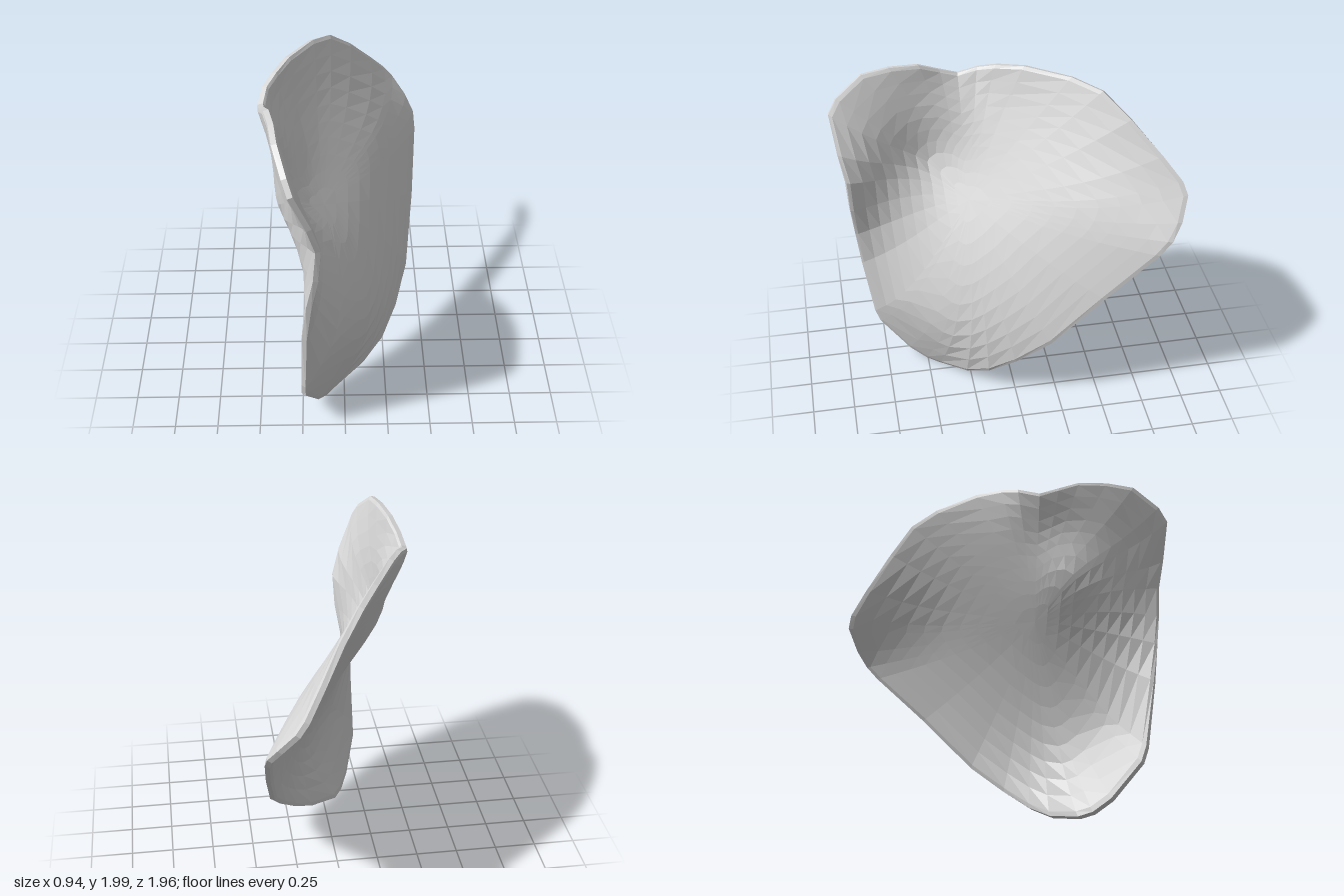
import * as THREE from 'three';

// Outline of the sheet as [z, y, x], clockwise as seen from +x
const OUTLINE = [
  [0.98, 1.78, -0.28], [0.93, 1.86, -0.31], [0.78, 1.97, -0.36], [0.62, 1.99, -0.38],
  [0.45, 1.975, -0.41], [0.33, 1.92, -0.44], [0.22, 1.88, -0.45], [0.1, 1.92, -0.43],
  [0, 1.95, -0.38], [-0.15, 1.965, -0.31], [-0.4, 1.94, -0.18], [-0.56, 1.89, -0.08],
  [-0.7, 1.76, 0.04], [-0.86, 1.58, 0.17], [-0.96, 1.455, 0.26], [-0.98, 1.39, 0.31],
  [-0.93, 1.27, 0.4], [-0.87, 1.18, 0.45], [-0.8, 1.1, 0.457], [-0.5, 0.8, 0.43],
  [-0.2, 0.47, 0.385], [0, 0.29, 0.31], [0.15, 0.16, 0.22], [0.27, 0.07, 0.1],
  [0.42, 0.01, -0.07], [0.5, 0.02, -0.12], [0.6, 0.08, -0.17], [0.77, 0.27, -0.24],
  [0.8, 0.36, -0.24], [0.86, 0.76, -0.228], [0.89, 1.0, -0.2], [0.91, 1.2, -0.16],
  [0.92, 1.4, -0.145], [0.95, 1.56, -0.19]
];
// Valley behind the flap, the flap itself, then the domed body and its lower fold
const INNER = [
  [0.32, 1.72, -0.378], [0.39, 1.52, -0.352], [0.43, 1.38, -0.335], [0.52, 1.28, -0.275],
  [0.65, 1.18, -0.225], [0.78, 1.03, -0.2], [0.7, 1.6, -0.285], [0.72, 1.36, -0.238],
  [-0.4, 1.3, 0.19], [0, 1.1, 0.06], [0.26, 0.93, 0], [0.32, 0.3, 0.12],
  [0.5, 0.35, 0], [0.6, 0.55, -0.05]
];
const CENTRE = [0.2, 1.2];
const RINGS = 11;

// Gaussian elimination with pivoting
function solve(rows) {
  const n = rows.length;
  for (let c = 0; c < n; c++) {
    let p = c;
    for (let r = c + 1; r < n; r++) if (Math.abs(rows[r][c]) > Math.abs(rows[p][c])) p = r;
    [rows[c], rows[p]] = [rows[p], rows[c]];
    for (let r = 0; r < n; r++) {
      if (r === c) continue;
      const k = rows[r][c] / rows[c][c];
      for (let j = c; j <= n; j++) rows[r][j] -= k * rows[c][j];
    }
  }
  return rows.map((row, i) => row[n] / row[i]);
}

// Smooth surface x = f(z, y) through the given points (thin plate spline)
function fitSurface(points) {
  const basis = (z, y) => [
    ...points.map(([a, b]) => {
      const d = (z - a) ** 2 + (y - b) ** 2;
      return d < 1e-12 ? 0 : d * Math.log(d);
    }), 1, z, y
  ];
  const rows = points.map(([z, y, x]) => [...basis(z, y), x]);
  for (const f of [() => 1, p => p[0], p => p[1]]) rows.push([...points.map(f), 0, 0, 0, 0]);
  const w = solve(rows);
  return (z, y) => basis(z, y).reduce((s, b, i) => s + b * w[i], 0);
}

function sheetGeometry() {
  const f = fitSurface([...OUTLINE, ...INNER]);
  const n = OUTLINE.length, e = 0.02;
  const pos = [], index = [];

  // Two skins, each made of rings from the centre to the outline, thinning to the rim
  for (const side of [1, -1]) {
    for (let r = 0; r <= RINGS; r++) {
      const t = r === RINGS ? 1 : 0.975 * r / (RINGS - 1);
      const half = side * (r === RINGS ? 0.015 : THREE.MathUtils.lerp(0.03, 0.022, t * t));
      for (const [oz, oy] of OUTLINE) {
        const z = THREE.MathUtils.lerp(CENTRE[0], oz, t);
        const y = THREE.MathUtils.lerp(CENTRE[1], oy, t);
        const normal = new THREE.Vector3(
          1, (f(z, y - e) - f(z, y + e)) / (2 * e), (f(z - e, y) - f(z + e, y)) / (2 * e)
        ).normalize().multiplyScalar(half);
        pos.push(f(z, y) + normal.x, Math.max(0, y + normal.y), z + normal.z);
      }
    }
  }
  const id = (skin, r, i) => (skin * (RINGS + 1) + r) * n + i % n;
  const quad = (a, b, c, d) => index.push(a, b, c, a, c, d);
  for (let i = 0; i < n; i++) {
    for (let r = 0; r < RINGS; r++) {
      const [a, b, c, d] = [[r, i], [r + 1, i], [r + 1, i + 1], [r, i + 1]];
      quad(id(0, ...a), id(0, ...d), id(0, ...c), id(0, ...b));
      quad(id(1, ...a), id(1, ...b), id(1, ...c), id(1, ...d));
    }
    // Rim joining the skins
    quad(id(0, RINGS, i), id(0, RINGS, i + 1), id(1, RINGS, i + 1), id(1, RINGS, i));
  }
  const geometry = new THREE.BufferGeometry();
  geometry.setAttribute('position', new THREE.Float32BufferAttribute(pos, 3));
  geometry.setIndex(index);
  geometry.computeVertexNormals();
  return geometry;
}

export function createModel() {
  const grey = new THREE.MeshStandardMaterial({ color: 0xd8d8d8, flatShading: true });
  grey.name = 'pale grey';
  const sheet = new THREE.Mesh(sheetGeometry(), grey);
  sheet.name = 'curledSheet';
  const group = new THREE.Group();
  group.name = 'curledLeaf';
  group.add(sheet);
  return group;
}
